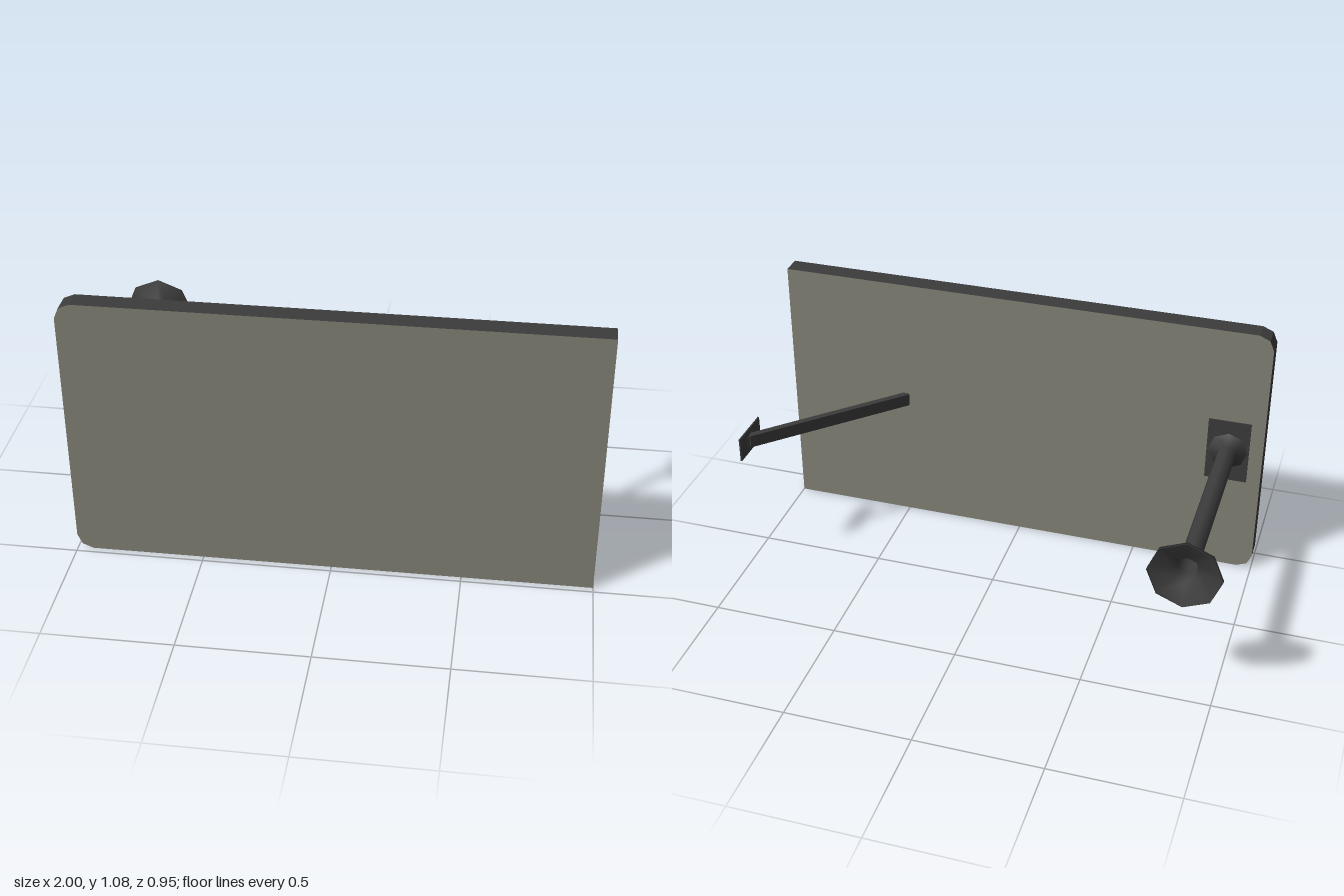
import * as THREE from 'three';

export function createModel() {
  const model = new THREE.Group();
  const panelGrey = new THREE.MeshStandardMaterial({ color: 0x858478 });
  panelGrey.name = 'panelGrey';
  const darkMetal = new THREE.MeshStandardMaterial({ color: 0x3c3c3c, side: THREE.DoubleSide });
  darkMetal.name = 'darkMetal';

  const add = (name, geometry, material, x = 0, y = 0, z = 0) => {
    const mesh = new THREE.Mesh(geometry, material);
    mesh.name = name;
    mesh.position.set(x, y, z);
    model.add(mesh);
    return mesh;
  };
  const box = (name, w, h, d, x, y, z) =>
    add(name, new THREE.BoxGeometry(w, h, d), darkMetal, x, y, z);

  // Upright panel: square corners on one end, clipped round corners on the other
  const H = 1.083;
  const outline = new THREE.Shape([
    [1, 0], [1, H], [-0.94, H], [-0.982, H - 0.018], [-1, H - 0.06],
    [-1, 0.06], [-0.982, 0.018], [-0.94, 0],
  ].map(([x, y]) => new THREE.Vector2(x, y)));
  add('panel', new THREE.ExtrudeGeometry(outline, { depth: 0.08, bevelEnabled: false }),
    [panelGrey, darkMetal], 0, 0, 0.395);

  // Mounting plate and flared post with an open eight-sided foot
  const midY = 0.552;
  box('mountingPlate', 0.17, 0.27, 0.006, -0.86, midY, 0.393);
  const profile = [
    [0.08, -0.39], [0.0375, -0.36], [0.0375, 0.41],
    [0.055, 0.44], [0.14, 0.463], [0.14, 0.475],
  ].map(([r, y]) => new THREE.Vector2(r, y));
  const post = add('post', new THREE.LatheGeometry(profile, 8), darkMetal, -0.86, midY, 0);
  post.rotation.x = -Math.PI / 2;

  // Diagonal strut running back from the panel to the side bracket
  const strut = box('strut', 0.026, 0.052, 0.705, 0.742, 0.555, 0.147);
  strut.rotation.y = -Math.PI / 4;
  box('bracketPlate', 0.006, 0.1, 0.184, 0.995, 0.555, -0.091);

  // Slots on both faces of the bracket
  for (const z of [-0.073, -0.118]) {
    box('bracketSlot', 0.009, 0.056, 0.006, 0.995, 0.556, z);
  }
  return model;
}
